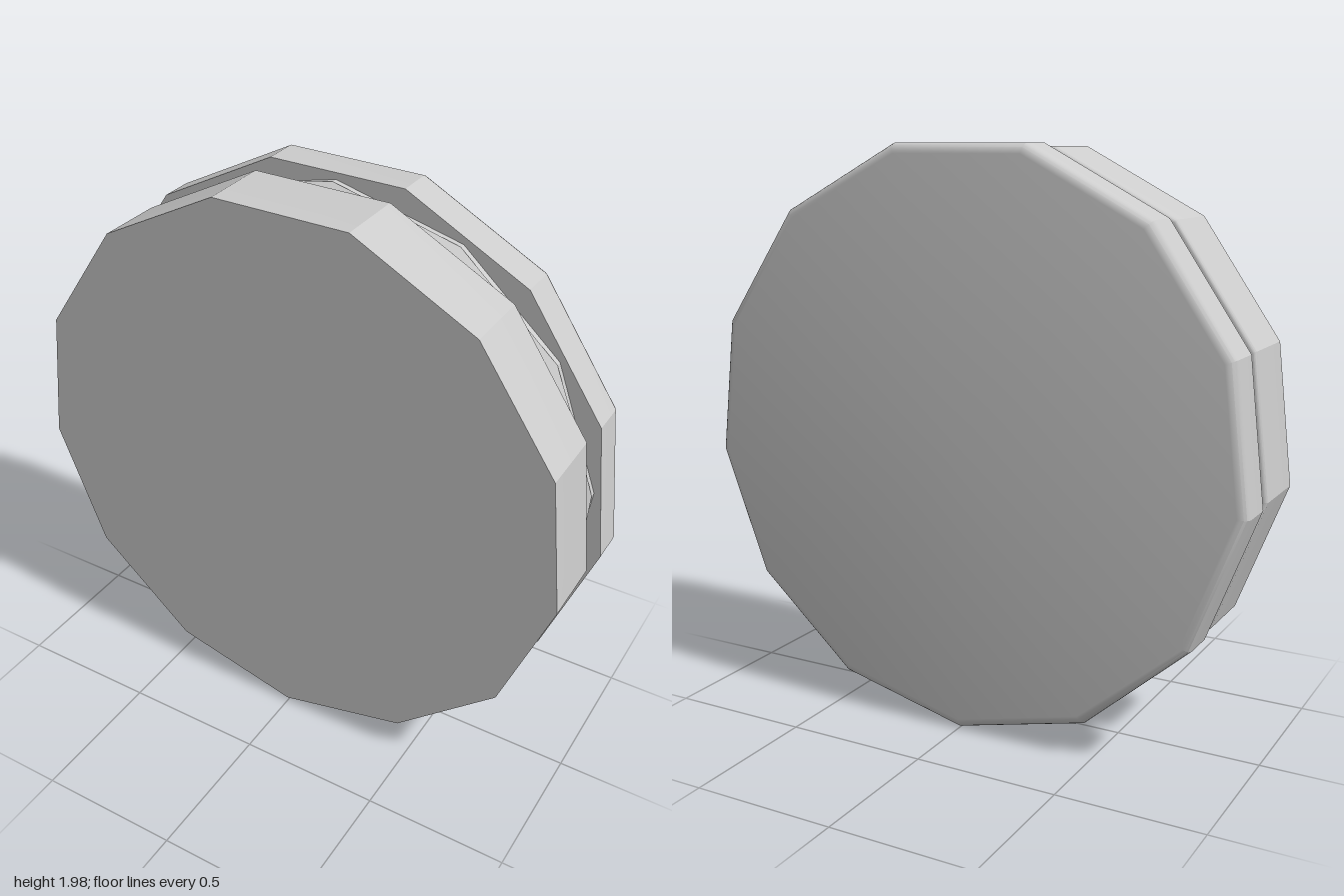
import * as THREE from 'three';
import { toCreasedNormals } from 'three/addons/utils/BufferGeometryUtils.js';

const SIDES = 13;
const CENTRE_Y = 1.007;
const material = new THREE.MeshStandardMaterial({ color: 0xcccccc });

// Thirteen-sided turned part from [radius, z] points, back to front
function turned(name, profile, crease, twistBelow = -Infinity) {
  const geo = new THREE.LatheGeometry(profile.map(([r, z]) => new THREE.Vector2(r, z)), SIDES);
  const pos = geo.attributes.position;
  const half = -Math.PI / SIDES;
  const v = new THREE.Vector3();
  const up = new THREE.Vector3(0, 1, 0);
  // rings behind the limit are turned by half a side
  for (let i = 0; i < pos.count; i++) {
    v.fromBufferAttribute(pos, i);
    if (v.y < twistBelow) v.applyAxisAngle(up, half);
    pos.setXYZ(i, v.x, v.y, v.z);
  }
  geo.rotateX(Math.PI / 2);
  const mesh = new THREE.Mesh(toCreasedNormals(geo, crease), material);
  mesh.name = name;
  mesh.position.y = CENTRE_Y;
  return mesh;
}

// Points of a quarter-round edge
function roundEdge(r, z, radius, steps) {
  const points = [];
  for (let i = 0; i <= steps; i++) {
    const a = (i / steps) * Math.PI / 2;
    points.push([r - radius + radius * Math.sin(a), z + radius - radius * Math.cos(a)]);
  }
  return points;
}

export function createModel() {
  const group = new THREE.Group();
  group.name = 'twoPartDisc';

  // Back disc with a rounded rear edge
  group.add(turned('backDisc', [
    [0, -0.24], ...roundEdge(1.007, -0.24, 0.035, 5), [1.007, -0.09], [0, -0.09],
  ], 0.42));

  // Faceted neck in the groove, its rear rings turned by half a side
  group.add(turned('neck', [[0.955, -0.092], [0.955, -0.07], [0.955, -0.03]], 0.05, -0.05));

  // Front disc, with a sharp front edge and a small stepped fillet behind
  group.add(turned('frontDisc', [
    [0.955, -0.03], [0.957, -0.02], [0.963, -0.014], [0.972, -0.011],
    ...roundEdge(0.995, -0.011, 0.014, 4), [0.995, 0.24], [0, 0.24],
  ], 0.42));

  return group;
}
